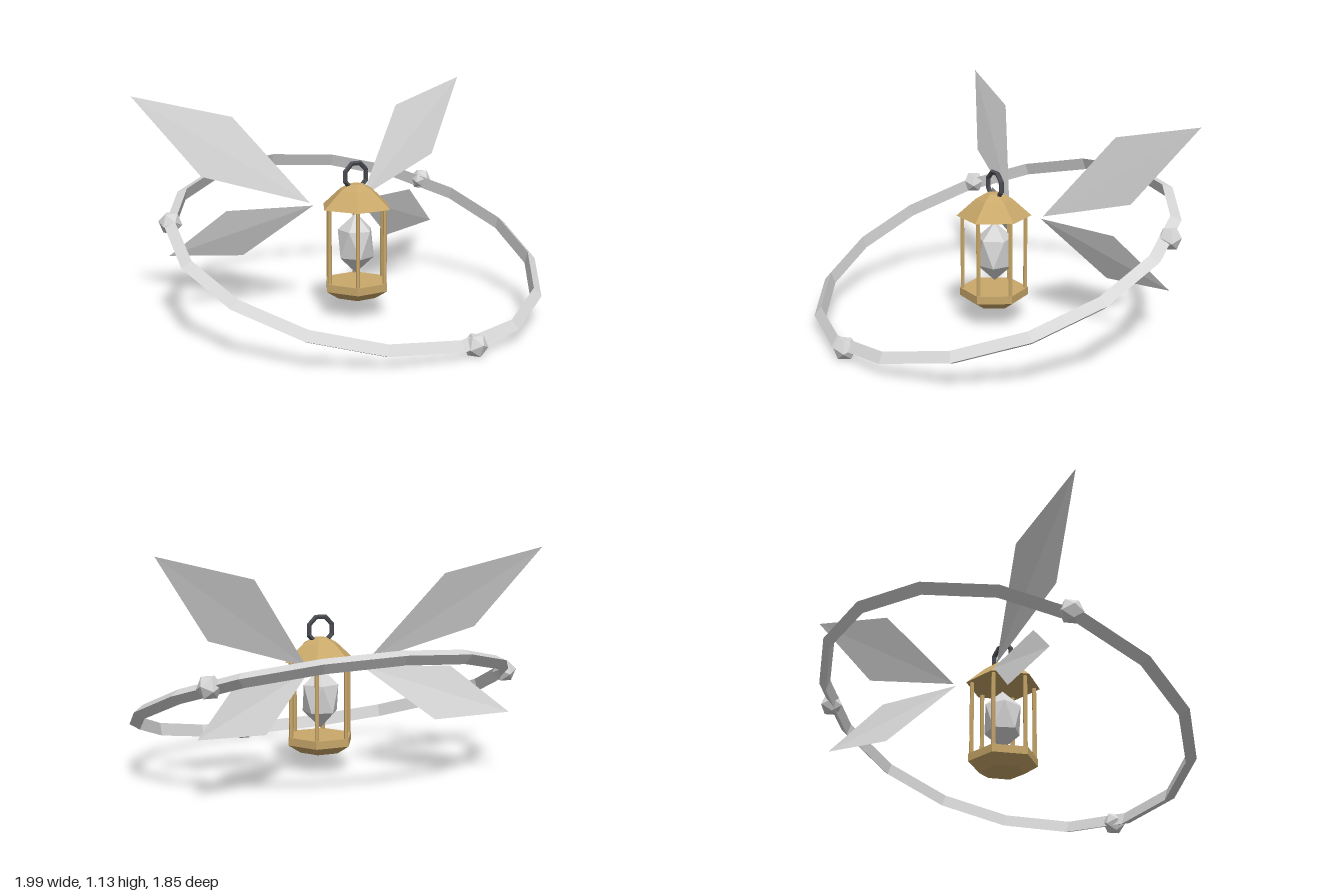
import * as THREE from 'three';

const silver = new THREE.MeshStandardMaterial({ color: 0xd6d6d6, side: THREE.DoubleSide });
silver.name = 'silver';
const brass = new THREE.MeshStandardMaterial({ color: 0xc9a86a });
brass.name = 'brass';
const iron = new THREE.MeshStandardMaterial({ color: 0x4a4c52 });
iron.name = 'darkIron';

// Faceted mesh: split the vertices so every face has its own normal
function part(name, geometry, material, parent) {
  const flat = geometry.index ? geometry.toNonIndexed() : geometry;
  flat.computeVertexNormals();
  const mesh = new THREE.Mesh(flat, material);
  mesh.name = name;
  parent.add(mesh);
  return mesh;
}

// Turned shape; the profile runs counter-clockwise as [radius, height]
function turned(profile, sides) {
  const points = profile.map(([r, y]) => new THREE.Vector2(r, y));
  return new THREE.LatheGeometry(points, sides, Math.PI / 2);
}

// Kite-shaped wing blade folded along the line from root to tip
function wing(name, [root, upper, tip, lower], side, parent) {
  const corners = [root, lower, tip, root, tip, upper];
  if (side < 0) corners.reverse();
  const geometry = new THREE.BufferGeometry().setFromPoints(
    corners.map(([x, y, z]) => new THREE.Vector3(x * side, y, z)));
  part(name, geometry, silver, parent);
}

export function createModel() {
  const model = new THREE.Group();
  model.name = 'wingedLantern';

  // Lantern body: hexagonal base, roof and six posts
  const lantern = new THREE.Group();
  lantern.name = 'lantern';
  model.add(lantern);
  part('base', turned([[0, 0.112], [0.108, 0.112], [0.175, 0.155], [0.175, 0.195], [0, 0.195]], 6), brass, lantern);
  part('roof', turned([[0, 0.577], [0.19, 0.577], [0.092, 0.665], [0.04, 0.694], [0, 0.696]], 6), brass, lantern);
  for (let i = 0; i < 6; i++) {
    const a = i * Math.PI / 3;
    const post = part('post', new THREE.CylinderGeometry(0.011, 0.011, 0.4, 6), brass, lantern);
    post.position.set(0.16 * Math.cos(a), 0.385, 0.16 * Math.sin(a));
  }

  // Carrying loop on the roof
  const loop = new THREE.TorusGeometry(0.068, 0.013, 5, 8);
  loop.rotateZ(Math.PI / 8);
  part('handle', loop, iron, lantern).position.set(0, 0.735, -0.005);

  // Stretched crystal standing on its point inside the lantern
  const gem = new THREE.IcosahedronGeometry(0.103, 0);
  gem.rotateZ(-Math.atan(2 / (1 + Math.sqrt(5))));
  gem.scale(1, 1.51, 1);
  part('crystal', gem, silver, lantern).position.set(0, 0.388, -0.005);

  // Tilted orbit ring with three beads
  const orbit = new THREE.Group();
  orbit.name = 'orbit';
  orbit.position.set(0, 0.388, -0.003);
  orbit.rotation.x = THREE.MathUtils.degToRad(20);
  model.add(orbit);
  part('ring', turned([[0.922, -0.034], [0.97, 0], [0.922, 0.034], [0.922, -0.034]], 16), silver, orbit);
  for (let i = 0; i < 3; i++) {
    const a = THREE.MathUtils.degToRad(5 + 120 * i);
    const bead = part('bead', new THREE.IcosahedronGeometry(0.06, 0), silver, orbit);
    bead.position.set(0.94 * Math.sin(a), 0, 0.94 * Math.cos(a));
  }

  // Two pairs of wings behind the lantern
  const upperWing = [[0.16, 0.582, -0.19], [0.5, 1.028, -0.376], [0.997, 1.15, -0.474], [0.706, 0.75, -0.318]];
  const lowerWing = [[0.14, 0.566, -0.19], [0.565, 0.56, -0.33], [0.818, 0.332, -0.478], [0.45, 0.306, -0.383]];
  for (const side of [1, -1]) {
    const label = side > 0 ? 'left' : 'right';
    wing(label + 'UpperWing', upperWing, side, model);
    wing(label + 'LowerWing', lowerWing, side, model);
  }

  return model;
}
